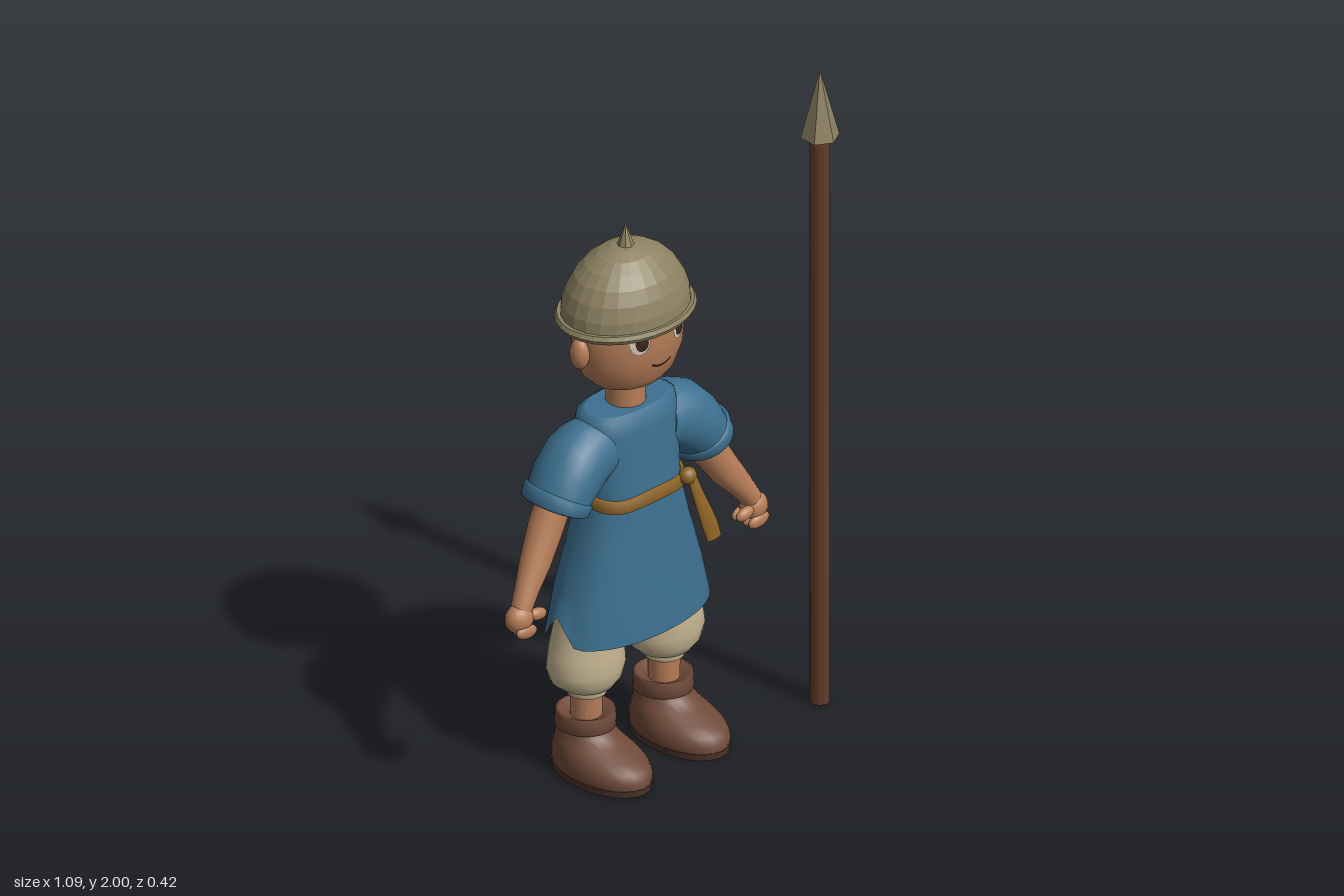
import * as THREE from 'three';

const mat = (name, color, extra = {}) => {
  const m = new THREE.MeshStandardMaterial({ color, ...extra });
  m.name = name;
  return m;
};

// Skin through elliptical rings listed top to bottom: [x, y, z, halfWidth, halfDepth, tilt about z].
// power < 1 squares the section; caps closes the [first, last] ring; bend may move each point.
function loft(rings, { n = 24, power = 1, caps = [true, true], bend } = {}) {
  const pos = [], index = [];
  const pw = v => Math.sign(v) * Math.abs(v) ** power;
  const addRing = ([x, y, z, a, b, tilt = 0], i) => {
    for (let j = 0; j < n; j++) {
      const t = j / n * Math.PI * 2, u = a * pw(Math.cos(t));
      const p = new THREE.Vector3(x + u * Math.cos(tilt), y + u * Math.sin(tilt), z + b * pw(Math.sin(t)));
      if (bend) bend(p, t, i);
      pos.push(p.x, p.y, p.z);
    }
  };
  rings.forEach(addRing);
  for (let i = 0; i < rings.length - 1; i++) {
    for (let j = 0; j < n; j++) {
      const a = i * n + j, b = i * n + (j + 1) % n;
      index.push(a, b, a + n, b, b + n, a + n);
    }
  }
  [0, rings.length - 1].forEach((r, end) => {
    if (!caps[end]) return;
    const start = pos.length / 3;
    addRing(rings[r], r);
    pos.push(...rings[r].slice(0, 3));
    for (let j = 0; j < n; j++) {
      const a = start + j, b = start + (j + 1) % n;
      index.push(start + n, ...(end ? [a, b] : [b, a]));
    }
  });
  const g = new THREE.BufferGeometry();
  g.setAttribute('position', new THREE.Float32BufferAttribute(pos, 3));
  g.setIndex(index);
  g.computeVertexNormals();
  return g;
}

// Head sections: [y, halfWidth, halfDepth]
const HEAD_Z = -0.032;
const HEAD = [[1.53, 0.09, 0.07], [1.48, 0.14, 0.11], [1.42, 0.168, 0.132], [1.35, 0.175, 0.137],
  [1.28, 0.168, 0.132], [1.22, 0.143, 0.115], [1.19, 0.112, 0.092], [1.172, 0.07, 0.06]];

// Lay a flat shape on the front of the head
function onFace(geo, x, y, lift) {
  geo.translate(x, y, 0);
  const p = geo.attributes.position;
  for (let i = 0; i < p.count; i++) {
    const py = p.getY(i);
    const k = HEAD.findIndex(r => r[0] <= py);
    const [y0, a0, b0] = HEAD[k - 1], [y1, a1, b1] = HEAD[k];
    const f = (y0 - py) / (y0 - y1), a = a0 + (a1 - a0) * f, b = b0 + (b1 - b0) * f;
    p.setZ(i, HEAD_Z + b * Math.sqrt(Math.max(0, 1 - (p.getX(i) / a) ** 2)) + lift);
  }
  geo.computeVertexNormals();
  return geo;
}

export function createModel() {
  const skin = mat('skin', 0xb67d58);
  const cloth = mat('blue cloth', 0x3d7090, { side: THREE.DoubleSide });
  const linen = mat('linen', 0xc6b692);
  const leather = mat('boot leather', 0x704a39);
  const sole = mat('sole', 0x4d3429);
  const wood = mat('dark wood', 0x623e2d);
  const metal = mat('dull metal', 0x8d8262, { side: THREE.DoubleSide, flatShading: true });
  const sash = mat('sash', 0x8f6526);
  const white = mat('eye white', 0xd3c8b4);
  const dark = mat('dark features', 0x3a2318);

  const model = new THREE.Group();
  const figure = new THREE.Group();
  figure.name = 'figure';
  figure.position.x = -0.057;
  model.add(figure);

  const add = (name, geo, material, parent = figure) => {
    const m = new THREE.Mesh(geo, material);
    m.name = name;
    parent.add(m);
    return m;
  };
  const ball = (name, material, x, y, z, rx, ry, rz, parent) => {
    const m = add(name, new THREE.SphereGeometry(1, 16, 12), material, parent);
    m.position.set(x, y, z);
    m.scale.set(rx, ry, rz);
    return m;
  };

  // Tunic with a notch in each side of the hem
  add('tunic', loft([
    [0, 1.105, -0.04, 0.135, 0.075], [0, 1.095, -0.04, 0.158, 0.092], [0, 1.05, -0.04, 0.165, 0.1],
    [0, 0.95, -0.035, 0.163, 0.103], [0, 0.86, -0.028, 0.157, 0.108], [0, 0.83, -0.028, 0.159, 0.11],
    [0, 0.7, -0.03, 0.195, 0.122], [0, 0.56, -0.032, 0.237, 0.138], [0, 0.425, -0.033, 0.268, 0.147]],
  { n: 40, power: 0.85, caps: [true, false], bend: (p, t, i) => {
    if (i !== 8) return;
    const fromSide = Math.asin(Math.min(1, Math.abs(Math.sin(t))));
    p.y += 0.085 * Math.max(0, 1 - fromSide / 0.33) + 0.008 * Math.abs(Math.cos(t));
  } }), cloth);

  // Sash, knot and hanging end
  add('sash', loft([[0, 0.866, -0.028, 0.156, 0.107], [0, 0.862, -0.028, 0.167, 0.118],
    [0, 0.83, -0.028, 0.17, 0.12], [0, 0.824, -0.028, 0.158, 0.11]],
  { n: 40, power: 0.85, caps: [false, false], bend: (p, t) => { p.y += 0.005 * Math.cos(4 * t); } }), sash);
  ball('sashKnot', sash, 0.128, 0.853, 0.073, 0.027, 0.026, 0.024);
  add('sashEnd', loft([[0.133, 0.86, 0.078, 0.014, 0.012, 0.2], [0.147, 0.79, 0.097, 0.02, 0.011, 0.2],
    [0.175, 0.7, 0.11, 0.028, 0.011, 0.2], [0.188, 0.65, 0.115, 0.027, 0.009, 0.1]], { n: 10 }), sash);

  // Neck and head
  add('neck', new THREE.CylinderGeometry(0.054, 0.058, 0.16, 20), skin).position.set(0, 1.12, -0.04);
  add('head', loft(HEAD.map(([y, a, b]) => [0, y, HEAD_Z, a, b]), { n: 40 }), skin);
  add('mouth', onFace(new THREE.RingGeometry(0.051, 0.058, 14, 1, Math.PI * 1.28, Math.PI * 0.44), 0, 1.323, 0.005), dark);

  // Helmet
  const dome = add('helmetDome', new THREE.SphereGeometry(1, 24, 7, 0, Math.PI * 2, 0, Math.PI / 2), metal);
  dome.position.set(0, 1.39, -0.04);
  dome.scale.set(0.2, 0.205, 0.16);
  const rim = add('helmetRim', new THREE.TorusGeometry(0.202, 0.014, 6, 28).rotateX(Math.PI / 2), metal);
  rim.position.set(0, 1.391, -0.04);
  rim.scale.z = 0.8;
  add('helmetSpike', new THREE.ConeGeometry(0.028, 0.08, 8), metal).position.set(0, 1.62, -0.04);

  for (const s of [1, -1]) {
    const side = s > 0 ? 'left' : 'right';
    const flip = rings => rings.map(([x, y, z, a, b, tilt = 0]) => [x * s, y, z, a, b, tilt * s]);

    // Eye and ear
    const eye = (name, r, sy, x, y, lift, m) =>
      add(side + name, onFace(new THREE.RingGeometry(0, r, 20, 3).scale(1, sy, 1), x * s, y, lift), m);
    eye('EyeWhite', 0.029, 1.3, 0.073, 1.36, 0.004, white);
    eye('Iris', 0.019, 1.4, 0.07, 1.362, 0.007, dark);
    ball(side + 'Ear', skin, 0.181 * s, 1.32, -0.033, 0.027, 0.048, 0.03);

    // Sleeve with a turned cuff
    add(side + 'Sleeve', loft(flip([
      [0.11, 1.0, -0.04, 0.095, 0.088, 1.4], [0.15, 0.998, -0.04, 0.1, 0.094, 1.2],
      [0.19, 0.982, -0.038, 0.1, 0.1, 0.97], [0.235, 0.942, -0.035, 0.094, 0.101, 0.75],
      [0.266, 0.9, -0.033, 0.085, 0.097, 0.52]]), { caps: [true, false] }), cloth);
    add(side + 'Cuff', loft(flip([
      [0.26, 0.912, -0.033, 0.086, 0.097, 0.52], [0.263, 0.907, -0.033, 0.095, 0.106, 0.5],
      [0.276, 0.88, -0.033, 0.092, 0.104, 0.45], [0.279, 0.874, -0.033, 0.083, 0.095, 0.45],
      [0.272, 0.89, -0.033, 0.06, 0.07, 0.45]]), { caps: [false, true] }), cloth);

    // Arm and loosely closed hand
    add(side + 'Arm', loft(flip([
      [0.262, 0.91, -0.038, 0.052, 0.05, 0.5], [0.31, 0.82, -0.035, 0.052, 0.05, 0.55],
      [0.36, 0.74, -0.022, 0.047, 0.044, 0.6], [0.405, 0.68, -0.008, 0.037, 0.035, 0.6],
      [0.437, 0.63, 0.002, 0.031, 0.03, 0.5]]), { n: 18 }), skin);
    const hand = new THREE.Group();
    hand.name = side + 'Hand';
    figure.add(hand);
    ball('palm', skin, 0.446 * s, 0.602, 0.003, 0.044, 0.043, 0.036, hand);
    for (let i = 0; i < 4; i++) {
      const finger = ball('finger', skin, (0.442 - 0.004 * i) * s, 0.568 + 0.003 * i, 0.028 - 0.018 * i, 0.038, 0.021, 0.014, hand);
      finger.rotation.z = 0.15 * s;
    }
    ball('thumb', skin, 0.395 * s, 0.604, 0.022, 0.032, 0.019, 0.016, hand).rotation.z = 0.2 * s;

    // Baggy trouser leg and shin
    add(side + 'Trouser', loft(flip([
      [0.09, 0.75, -0.035, 0.085, 0.08], [0.125, 0.55, -0.038, 0.094, 0.085], [0.142, 0.45, -0.04, 0.1, 0.092],
      [0.149, 0.38, -0.04, 0.113, 0.097], [0.151, 0.33, -0.04, 0.12, 0.099], [0.15, 0.29, -0.04, 0.108, 0.092],
      [0.148, 0.265, -0.04, 0.08, 0.076], [0.148, 0.256, -0.04, 0.057, 0.057], [0.148, 0.25, -0.04, 0.061, 0.061],
      [0.148, 0.238, -0.04, 0.056, 0.056]])), linen);
    add(side + 'Shin', new THREE.CylinderGeometry(0.046, 0.044, 0.12, 18), skin).position.set(0.148 * s, 0.2, -0.042);

    // Boot, turned top and sole
    add(side + 'Boot', loft(flip([
      [0.148, 0.15, -0.045, 0.07, 0.076], [0.148, 0.122, -0.042, 0.075, 0.085], [0.148, 0.1, -0.028, 0.085, 0.108],
      [0.148, 0.083, -0.005, 0.094, 0.137], [0.148, 0.062, 0.014, 0.102, 0.161], [0.148, 0.04, 0.02, 0.107, 0.169],
      [0.148, 0.018, 0.02, 0.104, 0.168]])), leather);
    add(side + 'BootTop', loft(flip([
      [0.148, 0.166, -0.045, 0.05, 0.05], [0.148, 0.181, -0.045, 0.074, 0.075], [0.148, 0.18, -0.045, 0.083, 0.085],
      [0.148, 0.136, -0.045, 0.085, 0.087], [0.148, 0.13, -0.045, 0.07, 0.074]])), leather);
    add(side + 'Sole', loft(flip([
      [0.148, 0.02, 0.02, 0.107, 0.17], [0.148, 0, 0.02, 0.105, 0.168]])), sole);
  }

  // Spear standing beside the figure
  const spear = new THREE.Group();
  spear.name = 'spear';
  spear.position.set(0.5, 0, 0.15);
  model.add(spear);
  add('spearShaft', new THREE.CylinderGeometry(0.028, 0.028, 1.8, 8), wood, spear).position.y = 0.9;
  add('spearTip', new THREE.ConeGeometry(0.055, 0.21, 6), metal, spear).position.y = 1.895;

  return model;
}
